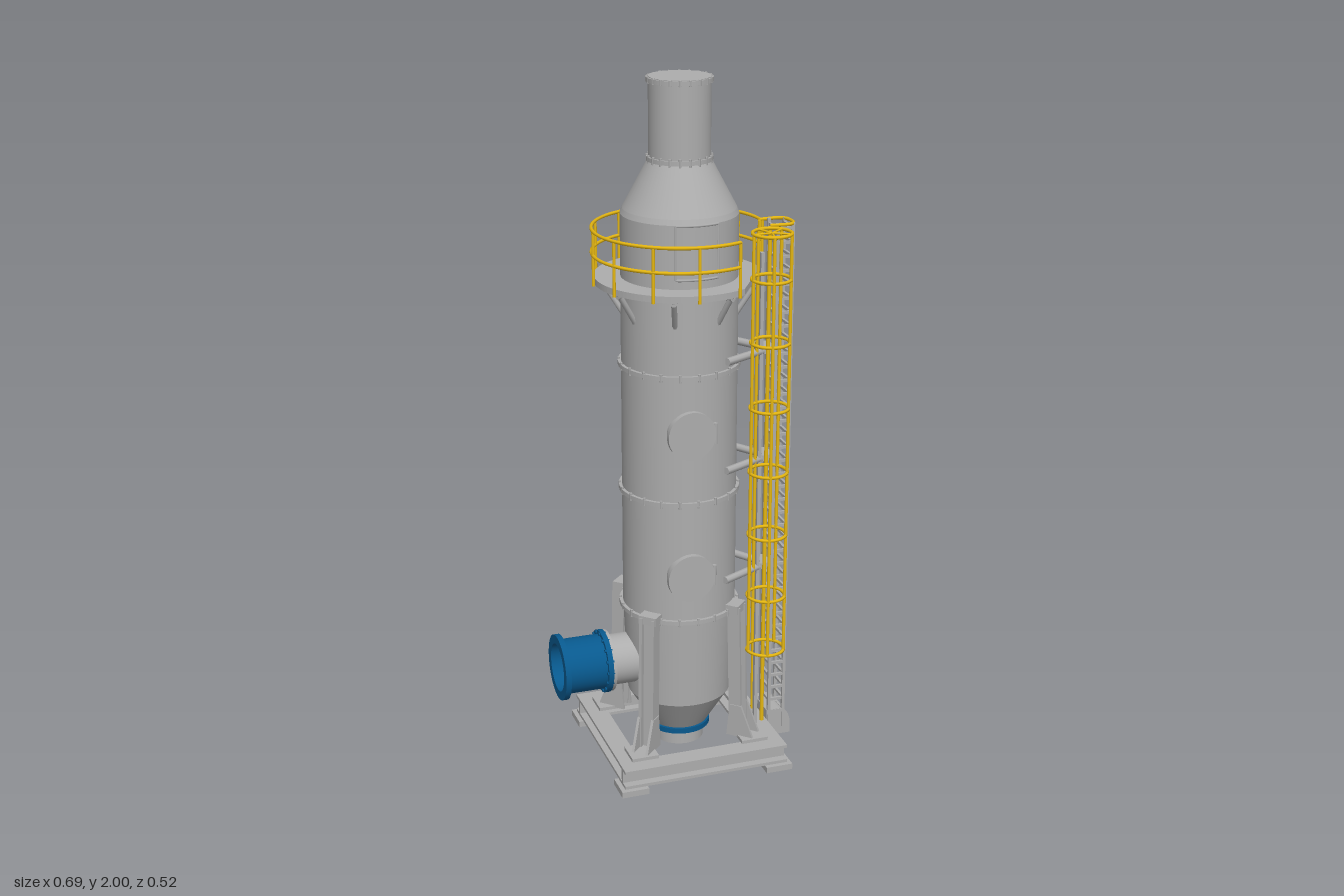
import * as THREE from 'three';

const grey = new THREE.MeshStandardMaterial({ color: 0xadadad, side: THREE.DoubleSide, name: 'steelGrey' });
const blue = new THREE.MeshStandardMaterial({ color: 0x08598e, side: THREE.DoubleSide, name: 'pipeBlue' });
const yellow = new THREE.MeshStandardMaterial({ color: 0xe8b912, name: 'safetyYellow' });
const CX = 0.02; // tower axis
const V = (x, y, z) => new THREE.Vector3(x, y, z);

export function createModel() {
  const model = new THREE.Group();
  model.name = 'scrubberTower';

  const group = (name) => {
    const g = new THREE.Group();
    g.name = name;
    model.add(g);
    return g;
  };
  const add = (parent, name, geo, mat, x = 0, y = 0, z = 0) => {
    const m = new THREE.Mesh(geo, mat);
    m.name = name;
    m.position.set(x, y, z);
    parent.add(m);
    return m;
  };
  const box = (parent, name, w, h, d, x, y, z) =>
    add(parent, name, new THREE.BoxGeometry(w, h, d), grey, x, y, z);
  // round bar between two points
  const rod = (parent, name, a, b, r, mat) => {
    const d = b.clone().sub(a);
    const m = add(parent, name, new THREE.CylinderGeometry(r, r, d.length(), 8), mat);
    m.position.copy(a).addScaledVector(d, 0.5);
    m.quaternion.setFromUnitVectors(V(0, 1, 0), d.normalize());
    return m;
  };
  // horizontal bent bar around a vertical axis
  const arc = (parent, name, cx, cz, y, r, a0, a1, t, mat) => {
    const pts = [];
    for (let i = 0; i <= 40; i++) {
      const a = a0 + (a1 - a0) * i / 40;
      pts.push(V(cx + r * Math.cos(a), y, cz + r * Math.sin(a)));
    }
    return add(parent, name, new THREE.TubeGeometry(new THREE.CatmullRomCurve3(pts), 60, t, 6), mat);
  };
  // revolve straight segments with crisp edges between them
  const turned = (parent, name, pts, mat) => {
    for (let i = 0; i < pts.length - 1; i++) {
      const seg = [pts[i], pts[i + 1]].map(([r, y]) => new THREE.Vector2(r, y));
      add(parent, name, new THREE.LatheGeometry(seg, 48), mat);
    }
  };

  // vessel: sump cone, shell, reducing cone and stack
  const tower = group('tower');
  tower.position.set(CX, 0, 0.004);
  turned(tower, 'shell', [[0, 0.095], [0.085, 0.095], [0.15, 0.2], [0.163, 0.48], [0.163, 1.63],
    [0.157, 1.645], [0.085, 1.78], [0.085, 2], [0, 2]], grey);
  // bolted flanges
  for (const [y, r] of [[0.475, 0.173], [0.835, 0.172], [1.205, 0.172], [1.78, 0.091], [1.992, 0.091]]) {
    add(tower, 'flange', new THREE.CylinderGeometry(r, r, 0.012, 48), grey, 0, y, 0);
    for (let i = 0; i < 20; i++) {
      const a = i * Math.PI / 10;
      add(tower, 'bolt', new THREE.CylinderGeometry(0.004, 0.004, y > 1.9 ? 0.016 : 0.022, 6), grey,
        (r - 0.003) * Math.cos(a), y, (r - 0.003) * Math.sin(a));
    }
  }
  // drain under the sump
  add(tower, 'drainFlange', new THREE.CylinderGeometry(0.091, 0.091, 0.016, 32), blue, 0, 0.086, 0);
  add(tower, 'drain', new THREE.CylinderGeometry(0.072, 0.072, 0.05, 32), grey, 0, 0.06, 0);

  // round manholes, two in front and one behind
  for (const [y, s, r, z] of [[1.045, 1, 0.069, 0.153], [0.62, 1, 0.069, 0.153], [0.88, -1, 0.06, 0.163]]) {
    const hole = group('manhole');
    hole.position.set(-0.005, y, s * z);
    const neck = add(hole, 'neck', new THREE.CylinderGeometry(r * 0.85, r * 0.85, 0.06, 32), grey);
    const lid = add(hole, 'lid', new THREE.CylinderGeometry(r, r, 0.016, 32), grey, 0, 0, s * 0.03);
    neck.rotation.x = lid.rotation.x = Math.PI / 2;
    rod(hole, 'hinge', V(r, -0.03, s * 0.03), V(r, 0.03, s * 0.03), 0.006, grey);
  }
  // service hatch outline on the shell above the deck
  const hatch = group('serviceHatch');
  const H0 = 1.21, H1 = 1.96, HR = 0.162;
  for (const y of [1.48, 1.628]) arc(hatch, 'hatchEdge', CX, 0.004, y, HR, H0, H1, 0.004, grey);
  for (const a of [H0, H1]) {
    const x = CX + HR * Math.cos(a), z = 0.004 + HR * Math.sin(a);
    rod(hatch, 'hatchSide', V(x, 1.48, z), V(x, 1.628, z), 0.004, grey);
  }

  // side inlet: grey stub and open blue pipe
  const inlet = group('inletPipe');
  inlet.position.set(0, 0.308, 0);
  inlet.rotation.z = Math.PI / 2; // local y runs toward the pipe mouth
  turned(inlet, 'stub', [[0.074, 0.09], [0.074, 0.196], [0.09, 0.196], [0.09, 0.206], [0.07, 0.206]], grey);
  turned(inlet, 'pipe', [[0.07, 0.206], [0.092, 0.206], [0.092, 0.221], [0.08, 0.221], [0.08, 0.334],
    [0.096, 0.334], [0.096, 0.35], [0.07, 0.35], [0.07, 0.206], [0, 0.206]], blue);
  for (let i = 0; i < 16; i++) {
    const a = i * Math.PI / 8;
    add(inlet, 'bolt', new THREE.CylinderGeometry(0.005, 0.005, 0.022, 6), blue,
      0.086 * Math.cos(a), 0.214, 0.086 * Math.sin(a));
  }

  // base frame of I-beams with corner pads
  const base = group('baseFrame');
  const FX = 0.023;
  const beam = (len, x, z, turn) => {
    const g = new THREE.Group();
    g.name = 'beam';
    g.position.set(x, 0.047, z);
    g.rotation.y = turn;
    base.add(g);
    box(g, 'topFlange', len, 0.009, 0.06, 0, 0.0235, 0);
    box(g, 'bottomFlange', len, 0.009, 0.06, 0, -0.0235, 0);
    box(g, 'web', len, 0.04, 0.012, 0, 0, 0);
  };
  for (const s of [-1, 1]) {
    beam(0.495, FX, s * 0.22, 0);
    beam(0.4, FX + s * 0.217, 0, Math.PI / 2);
    for (const t of [-1, 1]) {
      box(base, 'pad', 0.08, 0.018, 0.083, FX + s * 0.22, 0.009, t * 0.221);
      box(base, 'legPlate', 0.08, 0.01, 0.08, CX + s * 0.168, 0.08, t * 0.163);
    }
  }

  // four diagonal support legs
  const gusset = new THREE.Shape([[0.17, 0.08], [0.255, 0.08], [0.215, 0.18], [0.18, 0.18]]
    .map(([x, y]) => new THREE.Vector2(x, y)));
  for (let i = 0; i < 4; i++) {
    const leg = group('supportLeg');
    leg.position.x = CX;
    leg.rotation.y = Math.PI / 4 + i * Math.PI / 2;
    const post = new THREE.Group();
    post.name = 'post';
    post.position.set(0.192, 0.285, 0);
    post.rotation.z = 0.025;
    leg.add(post);
    for (const s of [-1, 1]) box(post, 'postFlange', 0.038, 0.41, 0.009, 0, 0, s * 0.019);
    box(post, 'postWeb', 0.01, 0.41, 0.036, 0, 0, 0);
    box(leg, 'topBracket', 0.045, 0.025, 0.055, 0.18, 0.485, 0);
    for (const z of [-0.026, 0.018]) {
      add(leg, 'footGusset', new THREE.ExtrudeGeometry(gusset, { depth: 0.008, bevelEnabled: false }), grey, 0, 0, z);
    }
  }

  // ring deck, cut straight at the ladder access
  const deckGroup = group('platform');
  const A0 = 1.05, A1 = Math.PI * 2 + 0.05, R = 0.235;
  const shape = new THREE.Shape();
  shape.absarc(0, 0, R, A0, A1, false);
  shape.closePath();
  shape.holes.push(new THREE.Path().absarc(0, 0, 0.15, 0, Math.PI * 2, true));
  const deck = add(deckGroup, 'deck', new THREE.ExtrudeGeometry(shape,
    { depth: 0.018, bevelEnabled: false, curveSegments: 48 }), grey, CX, 1.455, 0);
  deck.rotation.x = Math.PI / 2;
  for (let i = 0; i < 8; i++) {
    const a = (i + 0.5) * Math.PI / 4, c = Math.cos(a), s = Math.sin(a);
    const at = (r, y) => V(CX + r * c, y, r * s);
    rod(deckGroup, 'deckStrut', at(0.155, 1.34), at(0.215, 1.435), 0.008, grey);
    rod(deckGroup, 'deckJoist', at(0.155, 1.43), at(0.22, 1.43), 0.009, grey);
  }
  // guard rail: two bars on posts
  const rail = group('guardRail');
  const RR = 0.24;
  arc(rail, 'topRail', CX, 0, 1.588, RR, A0 + 0.1, A1, 0.005, yellow);
  arc(rail, 'midRail', CX, 0, 1.52, RR, A0 + 0.1, A1, 0.005, yellow);
  for (let i = 0; i <= 10; i++) {
    const a = A0 + 0.1 + (A1 - A0 - 0.1) * i / 10;
    const x = CX + RR * Math.cos(a), z = RR * Math.sin(a);
    rod(rail, 'railPost', V(x, 1.435, z), V(x, 1.588, z), 0.0045, yellow);
  }

  // access ladder: grey outer stile, yellow poles and hooped cage
  const ladder = group('cagedLadder');
  box(ladder, 'stile', 0.01, 1.5, 0.014, 0.23, 0.77, 0.09);
  for (const z of [0.012, 0.09]) rod(ladder, 'ladderPole', V(0.252, 0.08, z), V(0.252, 1.59, z), 0.006, yellow);
  const KX = 0.234, KZ = 0.152, KR = 0.054;
  for (const y of [0.35, 0.52, 0.71, 0.9, 1.09, 1.28, 1.46, 1.588]) {
    arc(ladder, 'hoop', KX, KZ, y, KR, 0, Math.PI * 2, 0.005, yellow);
  }
  for (let i = 0; i < 5; i++) {
    const a = 0.56 + i * Math.PI * 2 / 5, x = KX + KR * Math.cos(a), z = KZ + KR * Math.sin(a);
    rod(ladder, 'cageBar', V(x, 0.35, z), V(x, 1.588, z), 0.005, yellow);
    rod(ladder, 'cageSpoke', V(KX, 1.588, KZ), V(x, 1.588, z), 0.003, yellow);
  }

  // square lattice mast with rungs on its faces
  const mast = group('latticeMast');
  const X0 = 0.277, X1 = 0.322, Z0 = 0.018, Z1 = 0.083;
  for (const x of [X0, X1]) for (const z of [Z0, Z1]) box(mast, 'mastStile', 0.009, 1.57, 0.009, x, 0.81, z);
  for (let i = 0; i < 38; i++) {
    const y = 0.1 + i * 0.04;
    box(mast, 'frontRung', X1 - X0, 0.008, 0.007, (X0 + X1) / 2, y, Z1);
    for (const x of [X0, X1]) box(mast, 'sideRung', 0.007, 0.008, Z1 - Z0, x, y, (Z0 + Z1) / 2);
  }
  const loop = new THREE.CatmullRomCurve3([V(0.252, 1.592, 0.012), V(0.315, 1.592, 0.012), V(0.328, 1.592, 0.03),
    V(0.328, 1.592, 0.07), V(0.315, 1.592, 0.088), V(0.252, 1.592, 0.088)]);
  add(mast, 'topLoop', new THREE.TubeGeometry(loop, 32, 0.005, 6), yellow);
  // foot box with a rounded outer top
  const foot = new THREE.Shape();
  foot.moveTo(0.27, 0.02).lineTo(0.345, 0.02).lineTo(0.345, 0.06)
    .quadraticCurveTo(0.34, 0.1, 0.31, 0.105).lineTo(0.27, 0.105);
  add(mast, 'footBox', new THREE.ExtrudeGeometry(foot, { depth: 0.11, bevelEnabled: false }), grey, 0, 0, -0.025);

  // arms tying ladder and mast to the shell
  const arms = group('wallArms');
  for (const y of [0.58, 0.915, 1.235]) {
    rod(arms, 'frontArm', V(0.235, y, 0.085), V(0.11, y, 0.148), 0.011, grey);
    rod(arms, 'rearArm', V(0.25, y, 0.045), V(0.182, y, -0.06), 0.011, grey);
    box(arms, 'ladderClip', 0.06, 0.018, 0.016, 0.25, y, 0.08);
    box(arms, 'mastClip', 0.03, 0.018, 0.05, 0.262, y, 0.05);
  }
  return model;
}
